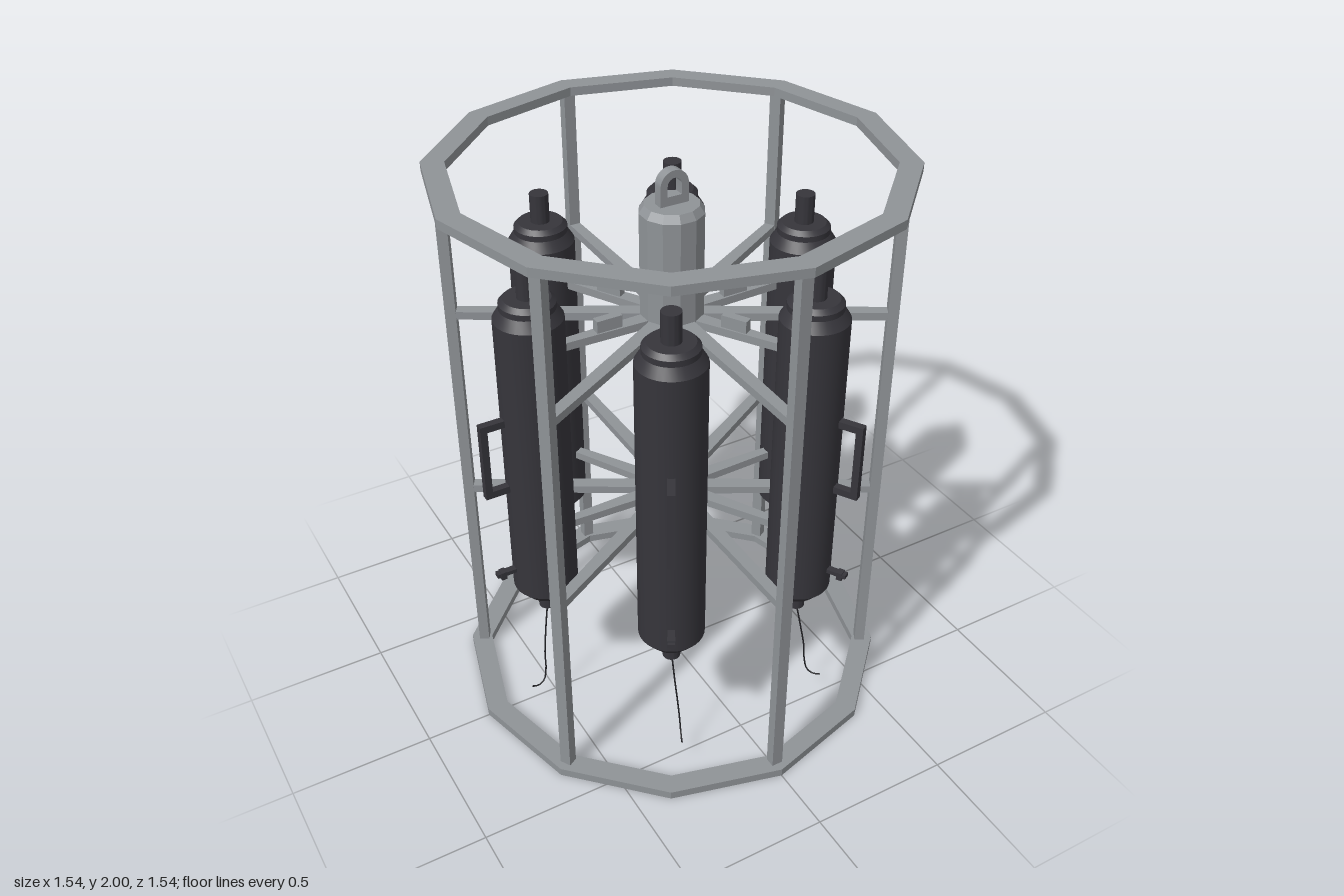
import * as THREE from 'three';
import { toCreasedNormals } from 'three/addons/utils/BufferGeometryUtils.js';

const steel = new THREE.MeshStandardMaterial({ name: 'steel grey', color: 0x8f9397 });
const dark = new THREE.MeshStandardMaterial({ name: 'bottle charcoal', color: 0x36353b });
const wire = new THREE.MeshStandardMaterial({ name: 'wire black', color: 0x222226 });

function add(parent, name, geometry, material, x = 0, y = 0, z = 0) {
  const mesh = new THREE.Mesh(geometry, material);
  mesh.name = name;
  mesh.position.set(x, y, z);
  parent.add(mesh);
  return mesh;
}

function box(parent, name, material, w, h, d, x, y, z = 0) {
  return add(parent, name, new THREE.BoxGeometry(w, h, d), material, x, y, z);
}

// Turned part from [radius, height] pairs, bottom to top
function turned(points, sides, crease) {
  const lathe = new THREE.LatheGeometry(points.map(p => new THREE.Vector2(...p)), sides);
  return toCreasedNormals(lathe, crease);
}

// Twelve-sided flat hoop
function hoopGeometry() {
  const ring = r => Array.from({ length: 12 }, (_, i) =>
    new THREE.Vector2(r * Math.cos(i * Math.PI / 6), r * Math.sin(i * Math.PI / 6)));
  const shape = new THREE.Shape(ring(0.768));
  shape.holes.push(new THREE.Path(ring(0.693)));
  return new THREE.ExtrudeGeometry(shape, { depth: 0.03, bevelEnabled: false }).rotateX(-Math.PI / 2);
}

// Radial bar that narrows towards its outer end
function spoke(parent, name, r0, r1, w0, w1, y) {
  const g = new THREE.BoxGeometry(r1 - r0, 0.028, 1).translate((r0 + r1) / 2, 0, 0);
  const p = g.attributes.position;
  for (let i = 0; i < p.count; i++) {
    p.setZ(i, p.getZ(i) * THREE.MathUtils.mapLinear(p.getX(i), r0, r1, w0, w1));
  }
  g.computeVertexNormals();
  add(parent, name, g, steel, 0, y, 0);
}

// Lifting eye: rounded plate with a slot
function eyeGeometry() {
  const s = new THREE.Shape();
  s.moveTo(-0.05, 0);
  s.lineTo(0.05, 0);
  s.lineTo(0.05, 0.075);
  s.absarc(0, 0.075, 0.05, 0, Math.PI, false);
  s.lineTo(-0.05, 0);
  const h = new THREE.Path();
  h.moveTo(-0.025, 0.04);
  h.lineTo(-0.025, 0.075);
  h.absarc(0, 0.075, 0.025, Math.PI, 0, true);
  h.lineTo(0.025, 0.04);
  h.lineTo(-0.025, 0.04);
  s.holes.push(h);
  return toCreasedNormals(new THREE.ExtrudeGeometry(s,
    { depth: 0.036, bevelEnabled: false, curveSegments: 10 }).translate(0, 0, -0.018), 0.6);
}

export function createModel() {
  const model = new THREE.Group();
  model.name = 'bottleFrame';

  // Hoops
  const hoop = hoopGeometry();
  add(model, 'bottomHoop', hoop, steel);
  add(model, 'topHoop', hoop, steel, 0, 1.97, 0);

  // Central housing, lower unit and lifting eye
  const housing = turned([[0, 0.65], [0.107, 0.65], [0.107, 1.84], [0.09, 1.865], [0, 1.865]], 12, 0.3);
  add(model, 'centralHousing', housing.rotateY(Math.PI / 12), steel);
  add(model, 'lowerUnit', turned([[0, 0.268], [0.085, 0.268], [0.098, 0.285], [0.098, 0.62],
    [0.088, 0.65], [0, 0.65]], 24, 0.45), dark);
  add(model, 'liftingEye', eyeGeometry(), steel, 0, 1.855, 0);

  // Shared bottle and wire geometry
  const bottleGeo = turned([[0, 0.43], [0.03, 0.43], [0.03, 0.505], [0.075, 0.505], [0.112, 0.548],
    [0.112, 1.605], [0.09, 1.64], [0.09, 1.66], [0.075, 1.675], [0.032, 1.675], [0.032, 1.775],
    [0, 1.775]], 32, 0.45);
  const hookGeo = new THREE.TubeGeometry(new THREE.CatmullRomCurve3([
    [0, 0.44, 0], [0.02, 0.32, -0.012], [0.034, 0.22, -0.023], [0.037, 0.15, -0.029],
    [0.05, 0.1, -0.033], [0.075, 0.088, -0.036], [0.1, 0.098, -0.038],
  ].map(p => new THREE.Vector3(...p))), 24, 0.003, 5);

  for (let i = 0; i < 6; i++) {
    // Post with its two braces
    const bay = new THREE.Group();
    bay.name = 'postBay';
    bay.rotation.y = Math.PI / 6 + i * Math.PI / 3;
    box(bay, 'post', steel, 0.036, 1.95, 0.04, 0.72, 1);
    for (const y of [0.758, 1.468]) spoke(bay, 'postSpoke', 0.05, 0.715, 0.052, 0.038, y);
    model.add(bay);

    // Bottle station
    const station = new THREE.Group();
    station.name = 'bottleStation';
    station.rotation.y = i * Math.PI / 3;
    for (const y of [0.758, 1.468]) spoke(station, 'bottleSpoke', 0.05, 0.42, 0.052, 0.032, y);
    box(station, 'spokeBlock', steel, 0.09, 0.045, 0.03, 0.235, 1.502);
    add(station, 'bottle', bottleGeo, dark, 0.507, 0, 0);
    add(station, 'hookWire', hookGeo, wire, 0.507, 0, 0);

    // Handle and small bottom lug on the outer side
    box(station, 'handleGrip', dark, 0.024, 0.285, 0.026, 0.69, 1.118);
    for (const y of [0.988, 1.248]) box(station, 'handleArm', dark, 0.085, 0.025, 0.026, 0.65, y);
    box(station, 'lugArm', dark, 0.075, 0.015, 0.024, 0.65, 0.637);
    box(station, 'lugTip', dark, 0.02, 0.03, 0.028, 0.665, 0.633);
    model.add(station);
  }
  return model;
}
